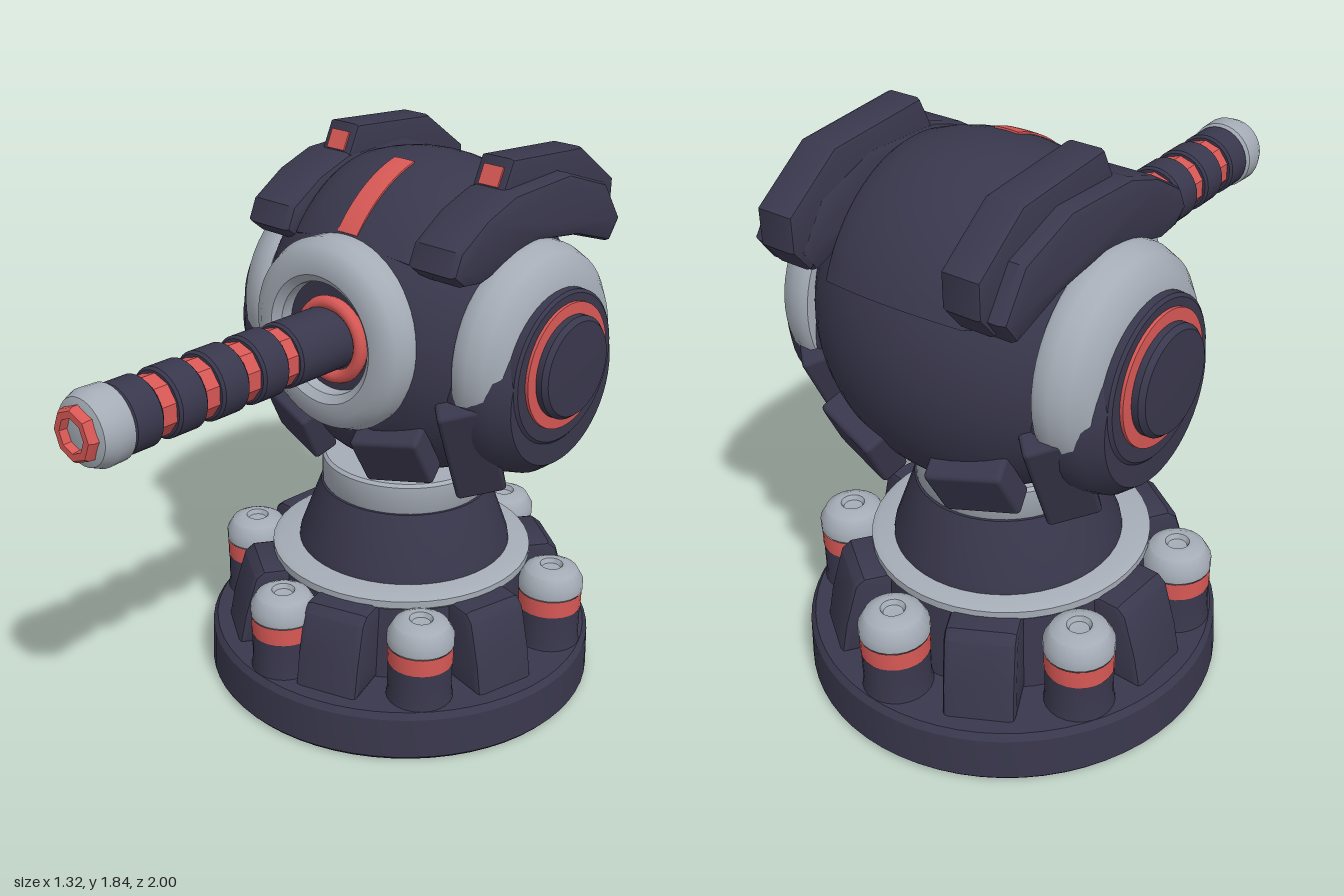
import * as THREE from 'three';
import { toCreasedNormals } from 'three/addons/utils/BufferGeometryUtils.js';
import { RoundedBoxGeometry } from 'three/addons/geometries/RoundedBoxGeometry.js';

const rad = THREE.MathUtils.degToRad;
const material = (name, color) => {
  const m = new THREE.MeshStandardMaterial({ color });
  m.name = name;
  return m;
};

export function createModel() {
  const model = new THREE.Group();
  model.name = 'cannonTurret';
  const dark = material('darkNavy', 0x39374c);
  const grey = material('lightGrey', 0xa5acb6);
  const red = material('coralRed', 0xd75855);

  const add = (name, geo, mat, x = 0, y = 0, z = 0, parent = model) => {
    const mesh = new THREE.Mesh(geo, mat);
    mesh.name = name;
    mesh.position.set(x, y, z);
    parent.add(mesh);
    return mesh;
  };
  // Revolved profile of [radius, height] pairs, turned onto the wanted axis
  const lathe = (pts, axis = 'y', segments = 48) => {
    const g = new THREE.LatheGeometry(pts.map(p => new THREE.Vector2(...p)), segments);
    if (axis === 'z') g.rotateX(Math.PI / 2);
    if (axis === 'x') g.rotateZ(-Math.PI / 2);
    if (axis === '-x') g.rotateZ(Math.PI / 2);
    return toCreasedNormals(g, 0.6);
  };
  // Side profile extruded to a given total width, centred, with a small bevel
  const slab = (pts, width, bevel, steps = 1) => {
    const shape = new THREE.Shape(pts.map(p => new THREE.Vector2(...p)));
    const g = new THREE.ExtrudeGeometry(shape, {
      depth: width - 2 * bevel, steps, bevelEnabled: bevel > 0, bevelSize: bevel,
      bevelOffset: -bevel, bevelThickness: bevel, bevelSegments: 2,
    });
    return g.translate(0, 0, -(width - 2 * bevel) / 2);
  };

  // ---- Base ----
  const cz = -0.34;
  add('basePlate', lathe([[0, 0], [0.65, 0], [0.66, 0.012], [0.655, 0.15], [0.64, 0.17], [0, 0.175]], 'y', 64), dark, 0, 0, cz);
  add('baseCore', lathe([[0.45, 0.16], [0.43, 0.43], [0, 0.43]]), dark, 0, 0, cz);
  add('baseRing', lathe([[0.42, 0.41], [0.44, 0.43], [0.44, 0.455], [0.42, 0.465], [0.3, 0.465]]), grey, 0, 0, cz);

  const postBody = lathe([[0.11, 0.16], [0.104, 0.2], [0.104, 0.3]], 'y', 24);
  const postBand = lathe([[0.106, 0.3], [0.106, 0.36]], 'y', 24);
  const postCap = lathe([[0.1, 0.355], [0.108, 0.365], [0.108, 0.4], [0.088, 0.435], [0.055, 0.452], [0.038, 0.45], [0.03, 0.435], [0, 0.432]], 'y', 24);
  for (const deg of [-65, -5, 48, 113, 176, 239]) {
    const a = rad(deg);
    const post = new THREE.Group();
    post.name = 'post';
    post.position.set(0.53 * Math.sin(a), 0, cz + 0.53 * Math.cos(a));
    model.add(post);
    add('postBody', postBody, dark, 0, 0, 0, post);
    add('postBand', postBand, red, 0, 0, 0, post);
    add('postCap', postCap, grey, 0, 0, 0, post);
  }
  // Buttresses between the posts
  const buttress = toCreasedNormals(slab([[0.3, 0.16], [0.59, 0.16], [0.57, 0.27], [0.53, 0.41], [0.5, 0.435], [0.3, 0.435]], 0.22, 0.02), 0.6);
  for (const deg of [-34, 17, 77, 144, 207, 267]) {
    add('buttress', buttress, dark, 0, 0, cz).rotation.y = rad(deg - 90);
  }

  // ---- Neck ----
  add('neckCone', lathe([[0.36, 0.46], [0.355, 0.49], [0.285, 0.68], [0, 0.68]]), dark, 0, 0, -0.355);
  add('neckCollar', lathe([[0.27, 0.67], [0.28, 0.685], [0.28, 0.775], [0.27, 0.785], [0, 0.785]]), grey, 0, 0, -0.355);

  // ---- Head: ball with a flat seat for the cannon mount ----
  const hy = 1.26, hz = -0.41;
  const ball = new THREE.SphereGeometry(1, 56, 40);
  ball.scale(0.525, 0.515, 0.47);
  const bp = ball.attributes.position;
  for (let i = 0; i < bp.count; i++) bp.setZ(i, Math.min(bp.getZ(i), 0.395));
  add('headBall', toCreasedNormals(ball, 0.5), dark, 0, hy, hz);

  // Crowned band over the head; angles run from the front over the top
  const band = (a0, a1, inner, outer, width, bevel) => {
    const pts = [];
    const arc = (r, from, to) => {
      for (let i = 0; i <= 28; i++) {
        const a = rad(from + (to - from) * i / 28);
        pts.push([-0.89 * r * Math.cos(a), r * Math.sin(a)]);
      }
    };
    arc(inner, a1, a0);
    arc(outer, a0, a1);
    const g = slab(pts, width, bevel, 8).rotateY(Math.PI / 2);
    const p = g.attributes.position;
    for (let i = 0; i < p.count; i++) {
      const k = 1 - 1.5 * p.getX(i) ** 2;
      p.setY(i, p.getY(i) * k);
      p.setZ(i, p.getZ(i) * k);
    }
    return toCreasedNormals(g, 0.6);
  };
  add('topCover', band(37, 156, 0.46, 0.532, 0.49, 0.015), dark, 0, hy, -0.425);
  add('topStripe', band(40, 77, 0.529, 0.537, 0.08, 0), red, 0, hy, -0.425);

  // Shoulder fins on both sides of the cover, profiles as [-z, y]
  const fin = (pts, width, bevel) => toCreasedNormals(slab(pts, width, bevel).rotateY(Math.PI / 2), 0.6);
  const finBody = fin([[0.18, 1.51], [0.45, 1.58], [0.66, 1.55], [0.84, 1.49], [0.89, 1.56], [0.8, 1.69], [0.6, 1.76],
    [0.33, 1.75], [0.2, 1.705], [0.08, 1.63], [0.05, 1.56], [0.1, 1.52]], 0.19, 0.025);
  const finRidge = fin([[0.3, 1.65], [0.8, 1.52], [0.86, 1.5], [0.915, 1.57], [0.915, 1.675], [0.73, 1.808],
    [0.38, 1.835], [0.33, 1.73]], 0.125, 0.015);
  for (const s of [-1, 1]) {
    add('finBody', finBody, dark, s * 0.335, 0, 0);
    add('finRidge', finRidge, dark, s * 0.31, 0, 0);
    const lamp = add('finLamp', new THREE.BoxGeometry(0.073, 0.062, 0.009), red, s * 0.31, 1.782, -0.353);
    lamp.rotation.x = -0.44;
  }

  // ---- Side ears: grey crescent showing above a lowered dark housing ----
  for (const s of [-1, 1]) {
    const ax = s > 0 ? 'x' : '-x';
    add('earCrescent', lathe([[0.2, 0.395], [0.33, 0.395], [0.338, 0.41], [0.335, 0.45], [0.315, 0.5], [0.27, 0.54], [0.2, 0.55]], ax), grey, 0, 1.253, -0.42);
    add('earHousing', lathe([[0.27, 0.25], [0.315, 0.38], [0.312, 0.45], [0.295, 0.52], [0.255, 0.57], [0, 0.572]], ax), dark, 0, 1.163, -0.412);
    add('earDial', lathe([[0.25, 0.5], [0.245, 0.57], [0.235, 0.578], [0, 0.578]], ax), dark, 0, 1.225, -0.41);
    add('earRing', lathe([[0.2, 0.55], [0.2, 0.588], [0.15, 0.59]], ax), red, 0, 1.235, -0.41);
    add('earHub', lathe([[0.163, 0.56], [0.163, 0.61], [0.15, 0.625], [0, 0.63]], ax), dark, 0, 1.235, -0.41);
  }

  // ---- Armour pads below the head, front and back ----
  const plate = (name, size, pos, normal, roll) => {
    const p = add(name, new RoundedBoxGeometry(...size, 2, 0.015), dark, ...pos);
    p.lookAt(new THREE.Vector3(...pos).add(new THREE.Vector3(...normal)));
    p.rotateZ(roll);
  };
  for (const s of [-1, 1]) {
    for (const f of [-1, 1]) {
      plate('chinPad', [0.235, 0.18, 0.09], [s * 0.205, 0.935, hz + f * 0.345], [s * 0.35, -0.5, f], s * f * 0.2);
      plate('cheekBracket', [0.16, 0.36, 0.11], [s * 0.405, 0.99, hz + f * 0.225], [s * 0.8, -0.38, f * 0.75], s * f * 0.25);
    }
  }

  // ---- Cannon mount ----
  add('mountRing', lathe([[0.29, -0.14], [0.305, -0.06], [0.308, 0], [0.29, 0.04], [0.25, 0.066], [0.205, 0.066],
    [0.18, 0.045], [0.175, -0.02]], 'z', 56), grey, 0, 1.295, 0);
  add('mountRecess', new THREE.CircleGeometry(0.19, 40), dark, 0, 1.295, 0.005);
  add('mountRedRing', new THREE.TorusGeometry(0.118, 0.022, 10, 40), red, 0.012, 1.288, 0.02);

  // ---- Barrel ----
  const bx = -0.01, by = 1.288;
  const sleeve = (z0, z1, r) => lathe([[0, z0], [r - 0.008, z0], [r, z0 + 0.008], [r, z1 - 0.008], [r - 0.008, z1], [0, z1]], 'z', 32);
  add('barrelRoot', sleeve(-0.1, 0.23, 0.103), dark, bx, by, 0);
  const core = toCreasedNormals(new THREE.CylinderGeometry(0.092, 0.092, 0.66, 10).rotateX(Math.PI / 2), 0.3);
  add('barrelCore', core, red, bx, by, 0.54);
  for (let i = 0; i < 4; i++) {
    add('barrelBand', sleeve(0.28 + i * 0.16, 0.385 + i * 0.16, 0.106), dark, bx, by, 0);
  }
  add('muzzle', lathe([[0.1, 0.86], [0.113, 0.87], [0.115, 0.93], [0.1, 0.965], [0.07, 0.975], [0, 0.975]], 'z', 32), grey, bx, by, 0);
  add('muzzleTip', lathe([[0.084, 0.96], [0.082, 0.99], [0.074, 1], [0.052, 1], [0.048, 0.97]], 'z', 8), red, bx, by, 0);

  return model;
}
